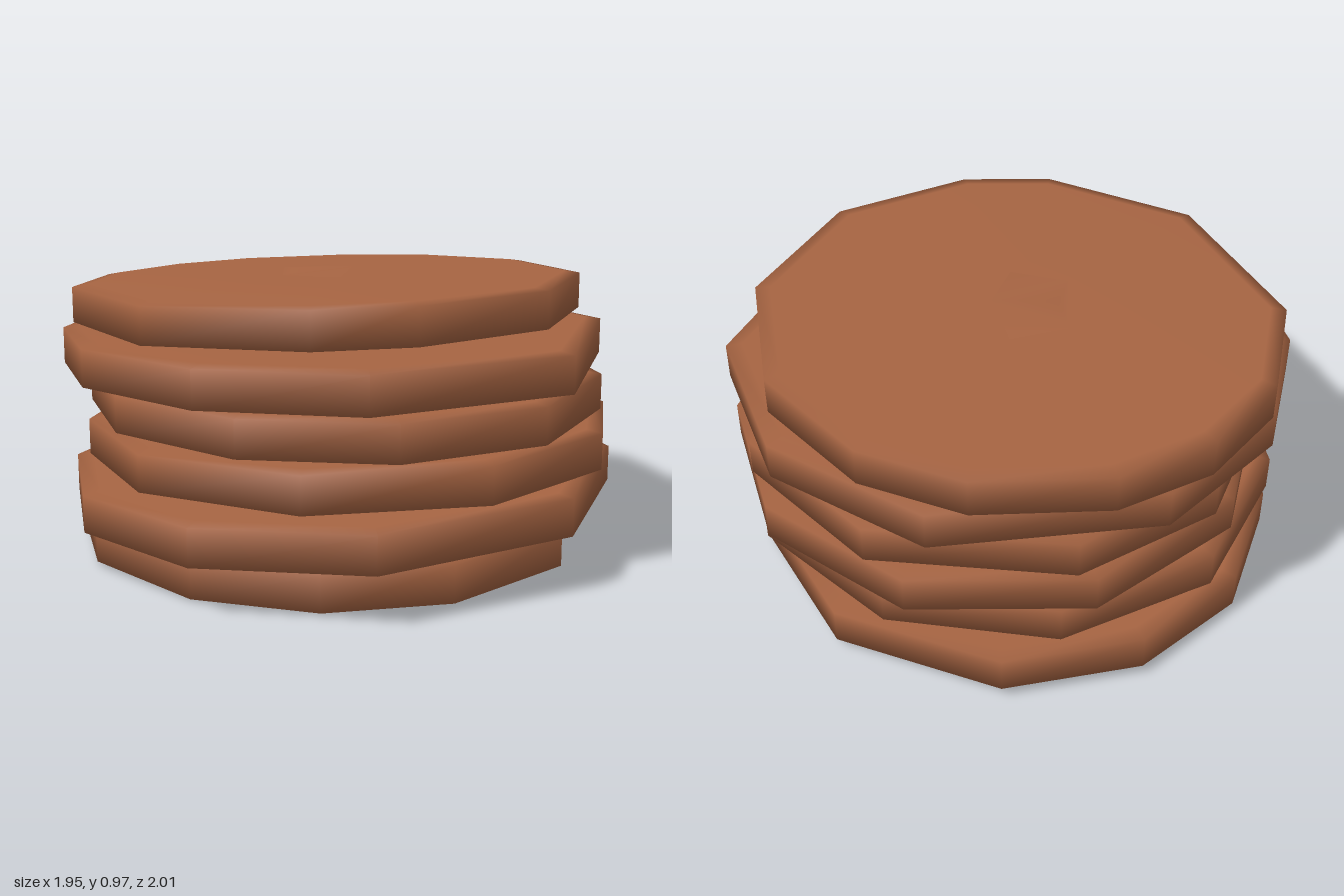
import * as THREE from 'three';

const brown = new THREE.MeshStandardMaterial({ color: 0xa66442, side: THREE.DoubleSide });
brown.name = 'toasted brown';

// Each layer: centre, underside height, slopes along x and z, radius, corner angles in degrees
const layers = [
  { x: 0.02, z: -0.08, y: 0.03, sx: 0.014, sz: -0.022, r: 0.92, corners: [30, 77, 110, 137, 164, 195, 225, 255, 283, 313, 351] },
  { x: -0.04, z: 0.03, y: 0.19, sx: 0.023, sz: 0.01, r: 0.97, corners: [10, 44, 86, 129, 164, 196, 230, 265, 300, 335] },
  { x: 0.04, z: 0, y: 0.338, sx: 0.01, sz: 0.005, r: 0.94, corners: [4, 40, 72, 108, 145, 182, 218, 252, 290, 328] },
  { x: 0.04, z: -0.03, y: 0.495, sx: 0.005, sz: -0.015, r: 0.92, corners: [16, 53, 91, 125, 157, 190, 224, 261, 295, 338] },
  { x: 0, z: -0.02, y: 0.65, sx: 0, sz: 0, r: 0.98, corners: [1, 36, 86, 130, 162, 193, 222, 248, 280, 325] },
  { x: 0.02, z: -0.1, y: 0.81, sx: 0.008, sz: 0.025, r: 0.91, corners: [12, 46, 83, 117, 138, 175, 219, 247, 270, 292, 320, 343] },
];

// Cross-section rings from underside to top: [radius share, height]
const rings = [[1, 0], [1, 0.125], [0.94, 0.134]];

function meshFrom(points, faces, name) {
  const geometry = new THREE.BufferGeometry();
  geometry.setAttribute('position', new THREE.Float32BufferAttribute(points, 3));
  geometry.setIndex(faces);
  geometry.computeVertexNormals();
  const mesh = new THREE.Mesh(geometry, brown);
  mesh.name = name;
  return mesh;
}

// Irregular, slightly tilted and domed disc with soft shading
function pancake({ x, z, y, sx, sz, r, corners }, name) {
  const n = corners.length;
  const points = [];
  const faces = [];
  const add = (px, h, pz) => points.push(x + px, y + h + sx * px + sz * pz, z + pz);
  for (const [share, h] of rings) {
    for (const deg of corners) {
      const a = THREE.MathUtils.degToRad(deg);
      add(Math.cos(a) * r * share, h, Math.sin(a) * r * share);
    }
  }
  add(0, -0.012, 0);
  add(0, 0.142, 0);
  const last = (rings.length - 1) * n;
  const bottom = rings.length * n;
  for (let i = 0; i < n; i++) {
    const j = (i + 1) % n;
    for (let k = 0; k < last; k += n) {
      faces.push(k + i, k + n + i, k + j, k + j, k + n + i, k + n + j);
    }
    faces.push(bottom, i, j, bottom + 1, last + j, last + i);
  }
  return meshFrom(points, faces, name);
}

// Small crumpled pat: a folded fan rising to one corner
function pat() {
  const points = [
    0.1, 0.976, -0.05,
    -0.08, 0.96, 0.065,
    -0.19, 0.962, -0.11,
    -0.1, 0.956, -0.17,
    0, 0.962, -0.33,
    0.19, 0.96, -0.25,
    -0.06, 0.972, -0.2,
  ];
  const faces = [0, 2, 1, 0, 3, 2, 0, 6, 3, 0, 4, 6, 0, 5, 4, 2, 3, 4, 3, 6, 4];
  return meshFrom(points, faces, 'butterPat');
}

export function createModel() {
  const group = new THREE.Group();
  group.name = 'pancakeStack';
  layers.forEach((layer, i) => group.add(pancake(layer, `pancake${i + 1}`)));
  group.add(pat());
  return group;
}
